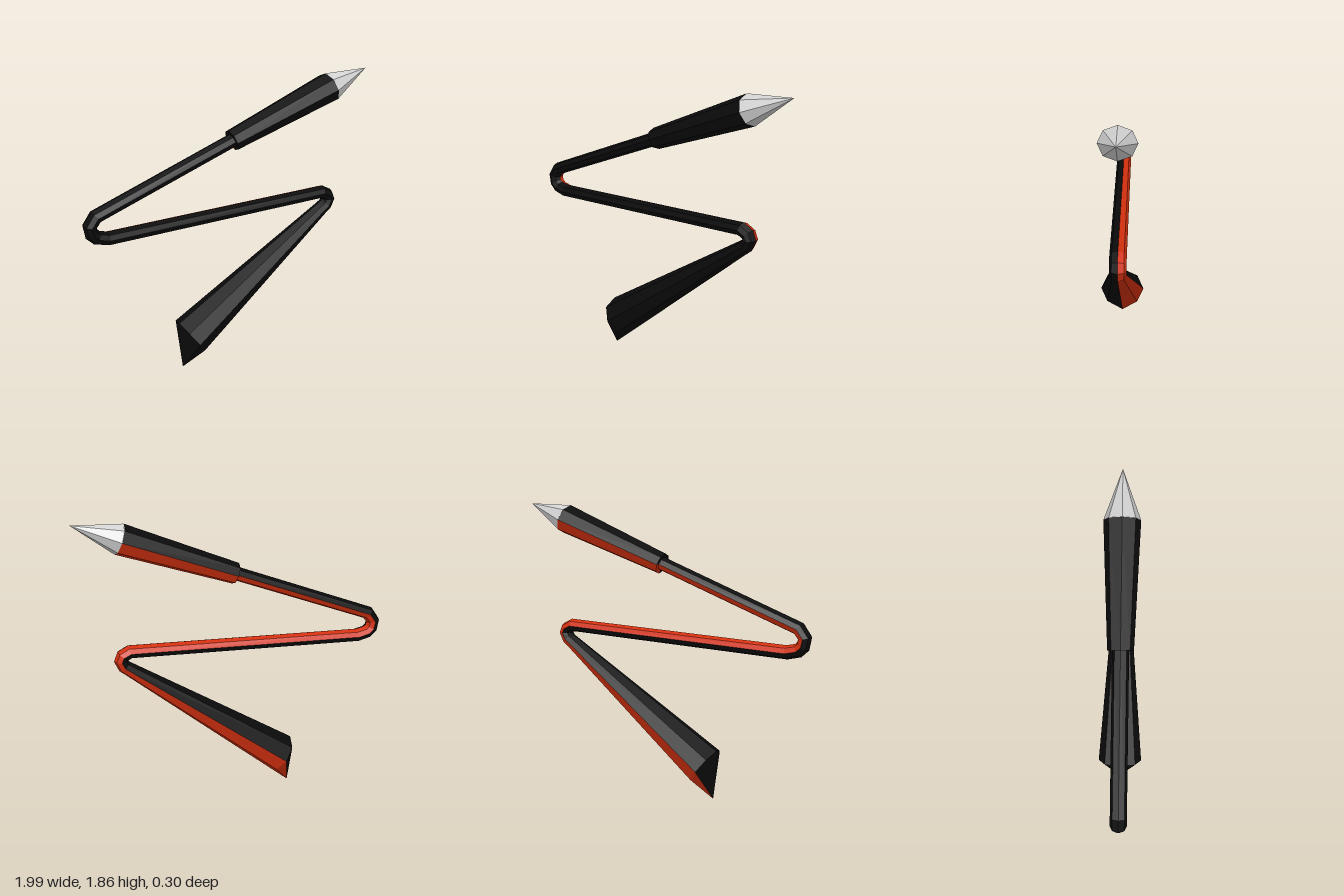
import * as THREE from 'three';

const SIDES = 8;
const FLATTEN = 0.87; // sections are slightly narrower in the bend plane than in z

function material(name, color) {
  const m = new THREE.MeshStandardMaterial({ color, flatShading: true });
  m.name = name;
  return m;
}

// Eight-sided sweep through [x, y, radius] stations in the z = 0 plane.
// Group 0 holds most of the faces, group 1 the stripe: the quarter between the bend-side normal and -z.
function sweep(stations, apex) {
  const pts = stations.map(([x, y]) => new THREE.Vector2(x, y));
  const dir = (i) => pts[i + 1].clone().sub(pts[i]).normalize();
  const rings = stations.map(([x, y, r], i) => {
    const t = new THREE.Vector2();
    if (i > 0) t.add(dir(i - 1));
    if (i < pts.length - 1) t.add(dir(i));
    t.normalize();
    return Array.from({ length: SIDES }, (_, k) => {
      const a = (k / SIDES) * Math.PI * 2;
      const n = Math.cos(a) * r * FLATTEN;
      return [x - t.y * n, y + t.x * n, -Math.sin(a) * r];
    });
  });
  if (apex) rings.push(Array.from({ length: SIDES }, () => [apex[0], apex[1], 0]));

  const main = [], stripe = [];
  for (let i = 0; i < rings.length - 1; i++) {
    for (let k = 0; k < SIDES; k++) {
      const k2 = (k + 1) % SIDES;
      const a = rings[i][k], b = rings[i][k2], c = rings[i + 1][k2], d = rings[i + 1][k];
      (k < SIDES / 4 ? stripe : main).push(...a, ...d, ...c, ...a, ...c, ...b);
    }
  }
  const g = new THREE.BufferGeometry();
  g.setAttribute('position', new THREE.Float32BufferAttribute([...main, ...stripe], 3));
  g.addGroup(0, main.length / 3, 0);
  g.addGroup(main.length / 3, stripe.length / 3, 1);
  g.computeVertexNormals();
  return g;
}

export function createModel() {
  const black = material('black', 0x0b0b0b);
  const red = material('red', 0xd4300f);
  const silver = material('silver', 0xd2d2d2);
  const model = new THREE.Group();
  model.name = 'zigzagSpear';

  const add = (name, mats, stations, apex) => {
    const mesh = new THREE.Mesh(sweep(stations, apex), mats);
    mesh.name = name;
    model.add(mesh);
  };

  // Pointed metal tip
  add('tip', [silver, silver], [[0.995, 1.86, 0], [0.712, 1.762, 0.11]], [0.712, 1.762]);

  // Thick sleeve behind the tip, closed at its rear
  add('sleeve', [black, red], [[0.712, 1.762, 0.11], [0, 1.5, 0.078]], [0, 1.5]);

  // Thin shaft with two rounded bends
  add('shaft', [black, red], [
    [0.04, 1.515, 0.05],
    [-0.91, 1.16, 0.05],
    [-0.95, 1.105, 0.05],
    [-0.94, 1.055, 0.05],
    [-0.91, 1.027, 0.05],
    [-0.84, 1.01, 0.05],
    [0.68, 1.053, 0.05],
    [0.725, 1.03, 0.05],
    [0.738, 1.0, 0.05],
    [0.718, 0.96, 0.05],
    [0.69, 0.94, 0.051],
  ]);

  // Flared tail, cut back to a low point
  add('flaredTail', [black, red], [[0.718, 0.96, 0.048], [-0.312, 0.217, 0.15]], [-0.37, 0]);

  return model;
}
